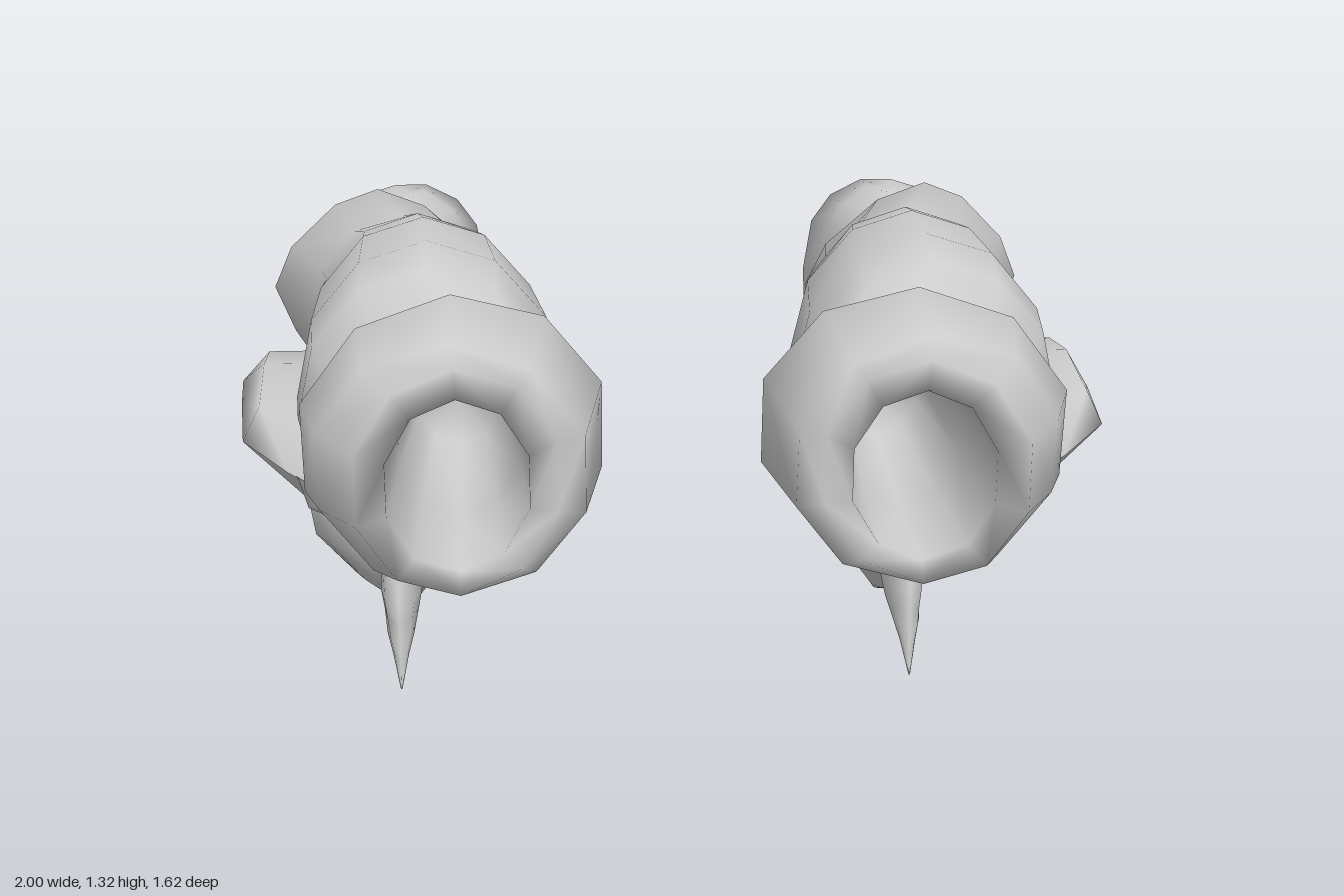
import * as THREE from 'three';

const material = new THREE.MeshStandardMaterial({ color: 0xcccccc, side: THREE.DoubleSide });

// Skin a list of rings (arrays of [x, y, z]); optionally close each ring and cap the ends
function loft(name, rings, { closed = true, capStart = false, capEnd = false } = {}) {
  const centre = r => [0, 1, 2].map(k => r.reduce((s, p) => s + p[k], 0) / r.length);
  const n = rings[0].length;
  const pos = rings.flat(2), index = [];
  for (let i = 0; i < rings.length - 1; i++) {
    for (let j = 0; j < (closed ? n : n - 1); j++) {
      const a = i * n + j, b = i * n + (j + 1) % n;
      index.push(a, a + n, b, b, a + n, b + n);
    }
  }
  const cap = (first, ring, flip) => {
    const c = pos.length / 3;
    pos.push(...centre(ring));
    for (let j = 0; j < n; j++) {
      const a = first + j, b = first + (j + 1) % n;
      index.push(c, flip ? b : a, flip ? a : b);
    }
  };
  if (capStart) cap(0, rings[0], false);
  if (capEnd) cap((rings.length - 1) * n, rings[rings.length - 1], true);
  const g = new THREE.BufferGeometry();
  g.setAttribute('position', new THREE.Float32BufferAttribute(pos, 3));
  g.setIndex(index);
  g.computeVertexNormals();
  const mesh = new THREE.Mesh(g, material);
  mesh.name = name;
  return mesh;
}

// Upright ring from its x and y limits; zAt gives the depth, power > 1 pulls it towards a diamond
function ellipse(x0, x1, y0, y1, zAt, sides = 10, power = 1) {
  const bend = v => Math.sign(v) * Math.abs(v) ** power;
  return Array.from({ length: sides }, (_, i) => {
    const a = Math.PI / 2 + i / sides * Math.PI * 2, c = bend(Math.cos(a)), s = bend(Math.sin(a));
    return [(x0 + x1) / 2 + (x1 - x0) / 2 * c, (y0 + y1) / 2 + (y1 - y0) / 2 * s, zAt(c, s)];
  });
}

function createArm() {
  const arm = new THREE.Group();
  const capped = { capStart: true, capEnd: true };

  // Barrel: swelling tube whose rear rim flares outward and sweeps back at the sides
  const body = [
    [0.53, 0.22, 0.77, 0.67, 1.19], [0.45, 0.25, 0.81, 0.65, 1.28],
    [0.35, 0.245, 0.82, 0.65, 1.32], [0.08, 0.28, 0.82, 0.69, 1.32],
    [-0.1, 0.32, 0.82, 0.69, 1.295], [-0.31, 0.385, 0.85, 0.73, 1.25],
  ].map(([z, ...box]) => ellipse(...box, () => z, 12));
  body.push(ellipse(0.4, 0.97, 0.73, 1.29, c => -0.46 - (c > 0 ? 0.17 : 0.1) * Math.abs(c), 12, 1.35));
  body.push(ellipse(0.47, 0.87, 0.8, 1.17, () => -0.62, 12));
  arm.add(loft('barrel', body, { capEnd: true }));

  // Muzzle: deep bore, rounded lip and outer collar, longest underneath
  arm.add(loft('muzzle', [
    ellipse(0.38, 0.58, 0.8, 1.02, () => 0.1),
    ellipse(0.34, 0.61, 0.74, 1.07, () => 0.45),
    ellipse(0.32, 0.62, 0.72, 1.08, c => 0.74 + 0.02 * c),
    ellipse(0.26, 0.68, 0.68, 1.15, c => 0.77 + 0.04 * c),
    ellipse(0.2, 0.77, 0.64, 1.19, (c, s) => 0.69 - 0.03 * c + 0.04 * s),
    ellipse(0.155, 0.805, 0.635, 1.25, (c, s) => 0.525 + 0.07 * c + 0.03 * s),
    ellipse(0.21, 0.77, 0.61, 1.19, (c, s) => 0.4 + 0.03 * c + 0.13 * s),
  ], { capStart: true }));

  // Outer fin: ridge with a shallow top, its underside sloping in to the belly of the barrel
  arm.add(loft('outerFin', [
    [0.43, 0.84, 0.82, 0.83, 0.01], [0.36, 0.97, 0.94, 0.89, 0], [0.12, 1.0, 0.97, 0.91, 0.01],
    [-0.07, 0.98, 0.99, 0.91, 0.03], [-0.27, 0.87, 0.83, 0.85, 0.07],
  ].map(([z, yt, xo, yo, lift]) => [
    [0.58, 0.69 + lift, z], [0.7, 0.7 + lift, z], [0.8, 0.75 + lift, z],
    [xo, yo, z], [xo * 0.5 + 0.43, yt, z], [0.74, yt, z],
  ]), capped));

  // Tab running forward beneath the barrel
  arm.add(loft('underTab', [[-0.02, 0.63, 0.82], [-0.33, 0.63, 0.88], [-0.5, 0.56, 0.88]].map(([z, y0, y1]) => [
    [0.41, y0 + 0.01, z], [0.52, y0, z], [0.64, y0 + 0.01, z], [0.67, y1, z], [0.41, y1, z],
  ]), capped));

  // Elbow skirt: flared sheet that wraps the front of the upright
  arm.add(loft('elbowSkirt', [
    [[0.45, 0.82, -0.46], [0.52, 0.78, -0.32], [0.65, 0.77, -0.24], [0.75, 0.77, -0.28], [0.82, 0.78, -0.4]],
    [[0.38, 0.7, -0.53], [0.5, 0.67, -0.4], [0.67, 0.65, -0.34], [0.8, 0.68, -0.36], [0.91, 0.73, -0.46]],
    [[0.31, 0.57, -0.67], [0.5, 0.52, -0.52], [0.67, 0.5, -0.48], [0.85, 0.54, -0.5], [1.0, 0.58, -0.55]],
    [[0.46, 0.63, -0.64], [0.55, 0.61, -0.6], [0.67, 0.6, -0.57], [0.8, 0.6, -0.59], [0.92, 0.62, -0.64]],
  ], { closed: false }));

  // Upright: flat back, rounded front, domed top, swelling into a pointed lower end
  const back = -0.81;
  arm.add(loft('upright', [
    [1.24, 0.58, 0.66, -0.62], [1.2, 0.5, 0.79, -0.5], [1.13, 0.45, 0.88, -0.48],
    [1.0, 0.43, 0.93, -0.48], [0.75, 0.44, 0.91, -0.49], [0.6, 0.5, 0.9, -0.55],
    [0.51, 0.51, 0.9, -0.54], [0.46, 0.46, 0.945, -0.52], [0.32, 0.49, 0.92, -0.5],
    [0.18, 0.57, 0.81, -0.62], [0.1, 0.63, 0.72, -0.71], [0.07, 0.65, 0.69, -0.79],
  ].map(([y, x0, x1, front]) => Array.from({ length: 9 }, (_, i) => {
    const a = Math.PI * i / 8, bulge = i % 8 ? Math.sin(a) ** 0.75 : 0;
    return [(x0 + x1) / 2 - (x1 - x0) / 2 * Math.cos(a), y, back + (front - back) * bulge];
  })), capped));

  // Claw: broad root inside the upright, narrowing to a curved spike
  arm.add(loft('claw', [
    [0.37, -0.44, -0.42, 0.01], [0.32, -0.55, -0.4, 0.045], [0.22, -0.64, -0.36, 0.055],
    [0.17, -0.6, -0.355, 0.045], [0.13, -0.46, -0.35, 0.035], [0.08, -0.4, -0.345, 0.02],
    [0, -0.334, -0.33, 0.002],
  ].map(([y, z0, z1, r]) => Array.from({ length: 8 }, (_, i) => {
    const a = i / 8 * Math.PI * 2;
    return [0.67 + r * Math.cos(a), y, (z0 + z1) / 2 - (z1 - z0) / 2 * Math.sin(a)];
  })), capped));

  return arm;
}

export function createModel() {
  const model = new THREE.Group();
  model.name = 'armPair';
  const left = createArm();
  left.name = 'leftArm';
  const right = createArm();
  right.name = 'rightArm';
  right.scale.x = -1;
  model.add(left, right);
  return model;
}
